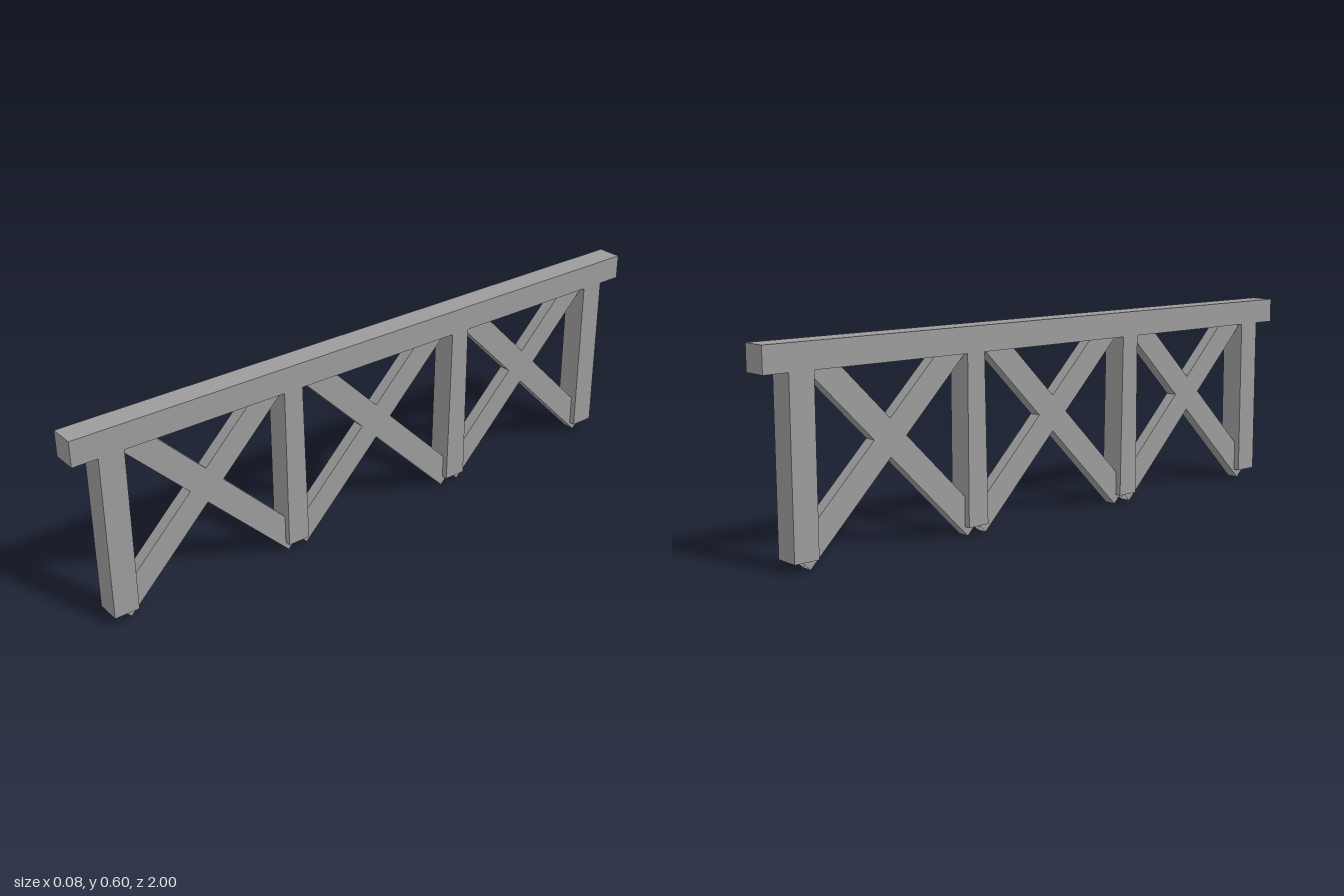
import * as THREE from 'three';

export function createModel() {
  const group = new THREE.Group();
  const material = new THREE.MeshStandardMaterial({ color: 0x9b9b9b, flatShading: true, side: THREE.DoubleSide });

  function addBox(name, width, height, depth, y, z) {
    const mesh = new THREE.Mesh(new THREE.BoxGeometry(width, height, depth), material);
    mesh.name = name;
    mesh.position.set(0, y, z);
    group.add(mesh);
    return mesh;
  }

  // Top rail
  const size = 0.076;
  addBox('topRail', 0.077, size, 2, 0.567, 0);

  for (const side of [-1, 1]) {
    // Square end posts
    addBox('endPost', size, 0.5, size, 0.279, side * 0.886);

    // Inner posts, their inward face leaning slightly outward at the top
    const position = addBox('innerPost', size, 0.5, 0.071, 0.279, side * 0.3065).geometry.attributes.position;
    for (let i = 0; i < position.count; i++) {
      if (position.getY(i) > 0 && position.getZ(i) * side < 0) {
        position.setZ(i, position.getZ(i) + side * 0.009);
      }
    }
  }

  // Thin crossed braces in each bay; the upper ends tuck into the rail
  const below = 0.414, above = 0.34, crossingY = 0.32;
  for (const bayZ of [-0.598, 0, 0.598]) {
    for (const side of [-1, 1]) {
      const shift = (above - below) / 2 * Math.SQRT1_2;
      const brace = addBox('brace', size / 2, below + above, size, crossingY + shift, bayZ + side * shift);
      brace.rotation.x = side * Math.PI / 4;
      // Open ends: keep the four long faces only
      const index = Array.from(brace.geometry.index.array);
      brace.geometry.setIndex([...index.slice(0, 12), ...index.slice(24)]);
      brace.geometry.clearGroups();
    }
  }
  return group;
}
